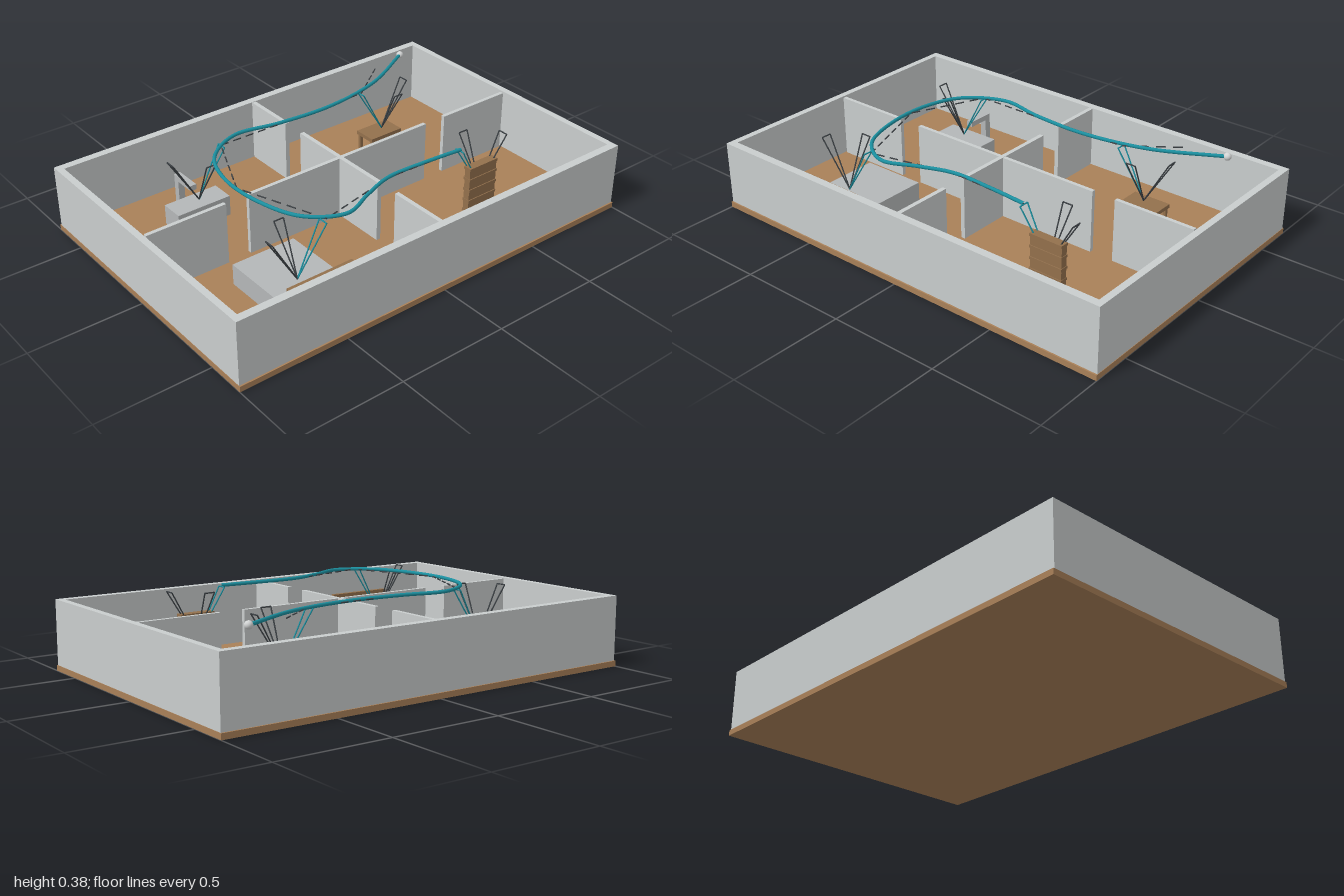
import * as THREE from 'three';

const mat = (name, color, opts = {}) => Object.assign(new THREE.MeshStandardMaterial({ color, ...opts }), { name });

export function createModel() {
  const root = new THREE.Group();
  root.name = 'floorPlan';
  const wall = mat('wall grey', 0xc9cdcd);
  const wood = mat('floor wood', 0xa98058);
  const darkWood = mat('furniture wood', 0x93704c);
  const fabric = mat('furniture grey', 0xb4b7b8);
  const teal = mat('path teal', 0x1b8f9f);
  const dark = mat('marker dark grey', 0x3c4145);
  const pale = mat('goal pale grey', 0xd2d4d4);

  // Box given by its min and max corners
  const box = (name, m, x0, x1, y0, y1, z0, z1, parent = root) => {
    const mesh = new THREE.Mesh(new THREE.BoxGeometry(x1 - x0, y1 - y0, z1 - z0), m);
    mesh.position.set((x0 + x1) / 2, (y0 + y1) / 2, (z0 + z1) / 2);
    mesh.name = name;
    parent.add(mesh);
    return mesh;
  };
  // Thin rod between two points
  const up = new THREE.Vector3(0, 1, 0);
  const rod = (name, m, a, b, r, parent = root) => {
    const d = b.clone().sub(a);
    const mesh = new THREE.Mesh(new THREE.CylinderGeometry(r, r, d.length(), 8), m);
    mesh.position.copy(a).addScaledVector(d, 0.5);
    mesh.quaternion.setFromUnitVectors(up, d.normalize());
    mesh.name = name;
    parent.add(mesh);
  };
  const V = (x, y, z) => new THREE.Vector3(x, y, z);

  // Floor and outer walls
  const F = 0.025, H = 0.312;
  box('floor', wood, -1, 1, 0, F, -0.68, 0.68);
  for (const s of [-1, 1]) {
    const z = s * 0.655, x = s * 0.983;
    box(s > 0 ? 'frontWall' : 'backWall', wall, -0.998, 0.998, F, H, z - 0.018, z + 0.018);
    box(s > 0 ? 'leftWall' : 'rightWall', wall, x - 0.015, x + 0.015, F, H, -0.637, 0.637);
  }

  // Inner partitions with door gaps
  for (const [a, b] of [[-0.637, -0.38], [-0.27, 0.26], [0.37, 0.637]])
    box('crossPartition', wall, -0.01, 0.01, F, H - 0.002, a, b);
  for (const [a, b] of [[-0.96, -0.59], [-0.48, 0.48], [0.59, 0.96]])
    box('longPartition', wall, a, b, F, H - 0.003, -0.009, 0.009);

  // Bed
  const bed = new THREE.Group();
  bed.name = 'bed';
  root.add(bed);
  box('mattress', fabric, -0.662, -0.36, F, 0.12, 0.145, 0.52, bed);
  box('headboard', darkWood, -0.668, -0.355, F, 0.22, 0.52, 0.54, bed);

  // Counter with tap
  const counter = new THREE.Group();
  counter.name = 'counter';
  root.add(counter);
  box('cabinet', fabric, -0.64, -0.38, F, 0.12, -0.4, -0.29, counter);
  box('tapPost', fabric, -0.525, -0.495, F, 0.16, -0.5, -0.47, counter);
  box('tapSpout', fabric, -0.525, -0.495, 0.16, 0.185, -0.5, -0.37, counter);

  // Table
  const table = new THREE.Group();
  table.name = 'table';
  root.add(table);
  box('tableTop', darkWood, 0.42, 0.597, 0.1, 0.118, -0.4, -0.29, table);
  for (const x of [0.425, 0.577]) for (const z of [-0.395, -0.31])
    box('tableLeg', darkWood, x, x + 0.015, F, 0.1, z, z + 0.015, table);

  // Bookcase with projecting shelves
  const bookcase = new THREE.Group();
  bookcase.name = 'bookcase';
  root.add(bookcase);
  box('caseBody', darkWood, 0.432, 0.588, F, 0.25, 0.319, 0.351, bookcase);
  for (let i = 0; i < 5; i++)
    box('shelf', darkWood, 0.43, 0.59, 0.03 + i * 0.0525, 0.042 + i * 0.0525, 0.315, 0.355, bookcase);

  // Viewing markers: three wire triangles spreading from one point, one of them teal
  const marker = (x, z, chosen) => {
    const g = new THREE.Group();
    g.name = 'viewMarker';
    root.add(g);
    const apex = V(x, 0.135, z);
    for (const [dx, dz] of [[-1, 0], [1, 0], [0, -Math.sign(z)]]) {
      const m = dx === chosen ? teal : dark;
      const reach = dx ? 0.128 : 0.115;
      const [a, b] = [-1, 1].map(s => V(x + dx * reach + s * dz * 0.023, 0.352, z + dz * reach + s * dx * 0.023));
      rod('markerSide', m, apex, a, 0.003, g);
      rod('markerSide', m, apex, b, 0.003, g);
      rod('markerEnd', m, a, b, 0.003, g);
    }
  };
  marker(0.51, 0.33, -1);
  marker(-0.53, 0.4, 1);
  marker(-0.51, -0.33, 1);
  marker(0.51, -0.33, -1);

  // Smooth route and its goal ball
  const Y = 0.358;
  const route = new THREE.CatmullRomCurve3([
    [0.385, 0.333], [0.2, 0.318], [0, 0.315], [-0.15, 0.365], [-0.3, 0.422], [-0.45, 0.33], [-0.525, 0.12],
    [-0.527, -0.1], [-0.46, -0.265], [-0.29, -0.365], [-0.08, -0.332], [0.19, -0.318], [0.49, -0.375], [0.785, -0.525],
  ].map(([x, z]) => V(x, Y, z)));
  const tube = new THREE.Mesh(new THREE.TubeGeometry(route, 160, 0.008, 10), teal);
  tube.name = 'route';
  root.add(tube);
  const ball = new THREE.Mesh(new THREE.SphereGeometry(0.017, 24, 16), pale);
  ball.position.set(0.785, Y, -0.525);
  ball.name = 'goalBall';
  root.add(ball);

  // Dashed straight route
  const stops = [[0.38, 0.33], [0, 0.315], [-0.385, 0.4], [-0.53, 0], [-0.385, -0.33], [0, -0.325], [0.385, -0.33], [0.617, -0.5]]
    .map(([x, z]) => V(x, Y - 0.002, z));
  for (let i = 0; i < stops.length - 1; i++) {
    const a = stops[i], b = stops[i + 1];
    const n = Math.round(a.distanceTo(b) / 0.07);
    for (let k = 0; k < n; k++)
      rod('routeDash', dark, a.clone().lerp(b, k / n), a.clone().lerp(b, (k + 0.58) / n), 0.003);
  }
  return root;
}
